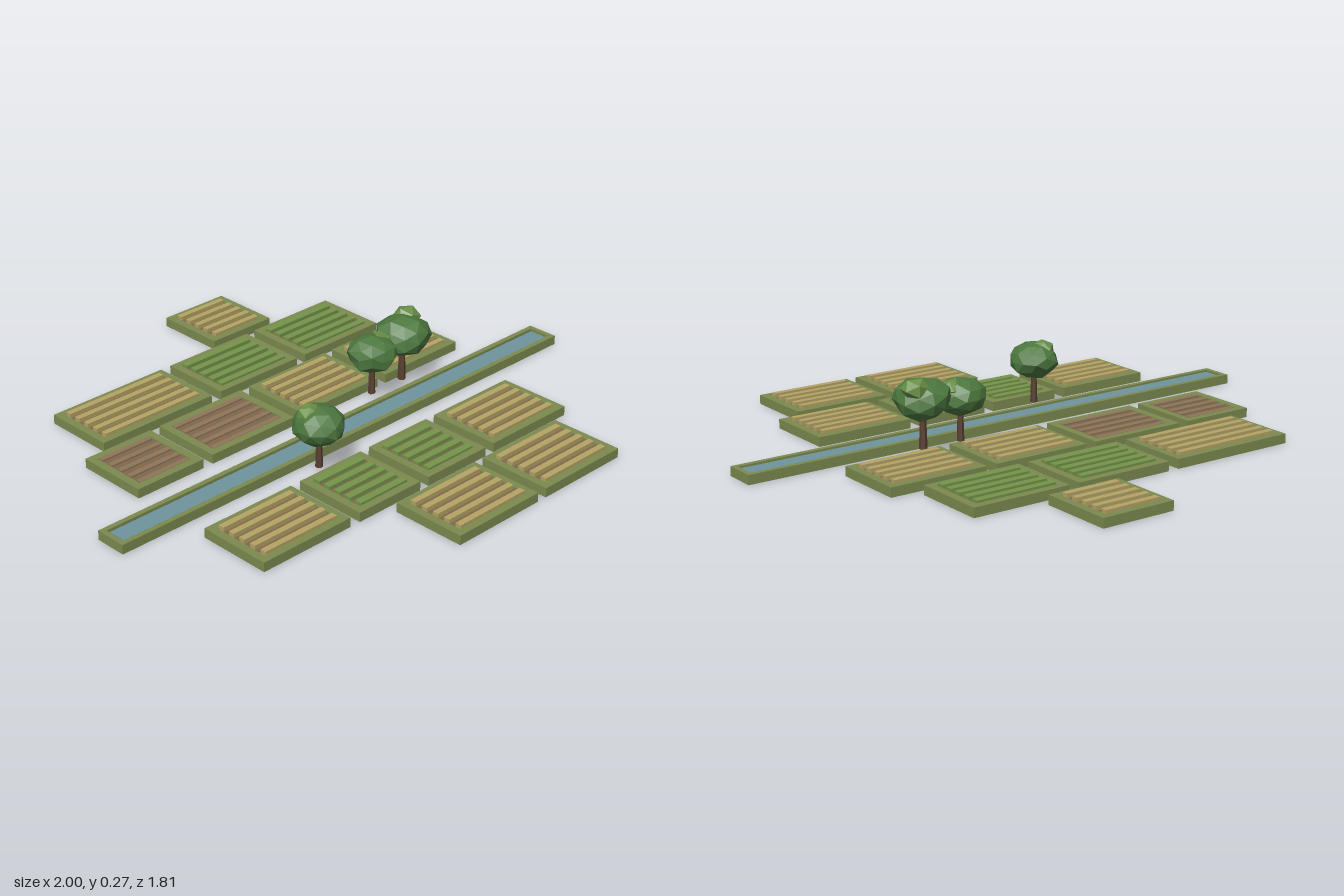
import * as THREE from 'three';

const mat = (color, flatShading = false) => {
  const m = new THREE.MeshStandardMaterial({ flatShading });
  m.color.set(color);
  return m;
};
const M = {
  grass: mat(0x7c8a4f), bank: mat(0x4c5c3c), soil: mat(0x7f684b), water: mat(0x6f949e),
  wheat: mat(0xb5a466), green: mat(0x75954a), fallow: mat(0x8f765a),
  trunk: mat(0x5a4032, true), leaf: mat(0x4d783f, true), leafLight: mat(0x6a9048, true),
};
const RIM = 0.033;

function add(parent, name, geometry, material, x = 0, y = 0, z = 0) {
  const mesh = new THREE.Mesh(geometry, material);
  mesh.name = name;
  mesh.position.set(x, y, z);
  parent.add(mesh);
  return mesh;
}

function box(parent, name, material, w, d, y0, y1, x = 0, z = 0) {
  return add(parent, name, new THREE.BoxGeometry(w, y1 - y0, d), material, x, (y0 + y1) / 2, z);
}

// Rectangular rim, open in the middle, standing on y = 0
function rim(parent, name, w, d, border) {
  const rect = (T, a, b) => new T([[-a, -b], [a, -b], [a, b], [-a, b]].map(p => new THREE.Vector2(...p)));
  const shape = rect(THREE.Shape, w / 2, d / 2);
  shape.holes.push(rect(THREE.Path, w / 2 - border, d / 2 - border));
  const g = new THREE.ExtrudeGeometry(shape, { depth: RIM, bevelEnabled: false });
  g.rotateX(-Math.PI / 2);
  add(parent, name, g, M.grass);
}

// Field: grassy rim, soil bed and five raised crop rows
function field(parent, x, z, w, crop) {
  const d = 0.265, border = 0.028, g = new THREE.Group();
  g.name = crop + 'Field';
  g.position.set(x, 0, z);
  parent.add(g);
  rim(g, 'fieldRim', w, d, border);
  box(g, 'fieldBase', M.grass, w - 2 * border, d - 2 * border, 0, 0.02);
  box(g, 'soilBed', M.soil, w - 2 * border, d - 2 * border, 0.02, 0.028);
  const [rowWidth, top] = { wheat: [0.022, 0.043], green: [0.026, 0.041], fallow: [0.02, 0.034] }[crop];
  const pitch = (d - 2 * border - rowWidth) / 4;
  for (let i = -2; i <= 2; i++) {
    box(g, 'cropRow', M[crop], w - 2 * border - 0.008, rowWidth, 0.028, top, 0, i * pitch);
  }
}

// Faceted blob whose vertices are pushed in and out by a smooth rule
function blob(radius, detail, seed) {
  const g = new THREE.IcosahedronGeometry(radius, detail), p = g.attributes.position;
  const v = new THREE.Vector3();
  for (let i = 0; i < p.count; i++) {
    v.fromBufferAttribute(p, i);
    const n = v.clone().divideScalar(radius);
    v.multiplyScalar(1 + 0.08 * Math.sin(n.x * 5 + seed) * Math.cos(n.y * 4 - n.z * 5 + seed * 2));
    p.setXYZ(i, v.x, v.y, v.z);
  }
  g.computeVertexNormals();
  return g;
}

// Tree: tapered trunk, broad crown and a smaller light clump on top
function tree(parent, x, z, s, seed, lump) {
  const g = new THREE.Group();
  g.name = 'tree';
  g.position.set(x, 0.02, z);
  g.scale.setScalar(s);
  parent.add(g);
  add(g, 'trunk', new THREE.CylinderGeometry(0.009, 0.013, 0.13, 6), M.trunk, 0, 0.065, 0);
  const crown = add(g, 'crown', blob(0.089, 1, seed), M.leaf, 0, 0.157, 0);
  crown.scale.y = 0.74;
  crown.rotation.y = seed;
  const clump = add(g, 'crownClump', blob(0.045, 0, seed + 1), M.leafLight, ...lump);
  clump.scale.y = 0.75;
  clump.rotation.y = seed * 2;
}

export function createModel() {
  const model = new THREE.Group();
  model.name = 'farmland';
  const land = new THREE.Group();
  land.name = 'fieldsAndCanal';
  land.rotation.y = 0.122;
  model.add(land);

  // Rows of fields: [z, [x, width, crop]...]
  const S = 0.27, L = 0.36, XL = 0.468;
  const rows = [
    [-0.743, [0.209, S, 'wheat']],
    [-0.443, [-0.438, XL, 'wheat'], [0.017, L, 'green'], [0.415, L, 'green']],
    [-0.139, [-0.643, S, 'fallow'], [-0.289, L, 'fallow'], [0.111, L, 'wheat'], [0.51, L, 'wheat']],
    [0.441, [-0.601, L, 'wheat'], [-0.246, S, 'green'], [0.062, S, 'green'], [0.416, L, 'wheat']],
    [0.744, [-0.078, L, 'wheat'], [0.32, L, 'wheat']],
  ];
  for (const [z, ...fields] of rows) for (const [x, w, crop] of fields) field(land, x, z, w, crop);

  // Irrigation canal
  const canal = new THREE.Group();
  canal.name = 'canal';
  canal.position.set(-0.019, 0, 0.152);
  land.add(canal);
  rim(canal, 'canalRim', 2, 0.115, 0.018);
  box(canal, 'canalBase', M.grass, 1.964, 0.079, 0, 0.012);
  box(canal, 'canalBank', M.bank, 1.964, 0.079, 0.012, 0.024);
  box(canal, 'water', M.water, 1.95, 0.066, 0.014, 0.028);

  // Trees
  tree(model, -0.224, 0.298, 0.98, 0.6, [-0.025, 0.2, -0.02]);
  tree(model, 0.22, 0.01, 0.98, 1.9, [0.035, 0.19, -0.01]);
  tree(model, 0.368, -0.01, 1.08, 3.1, [0.04, 0.2, -0.03]);
  return model;
}
